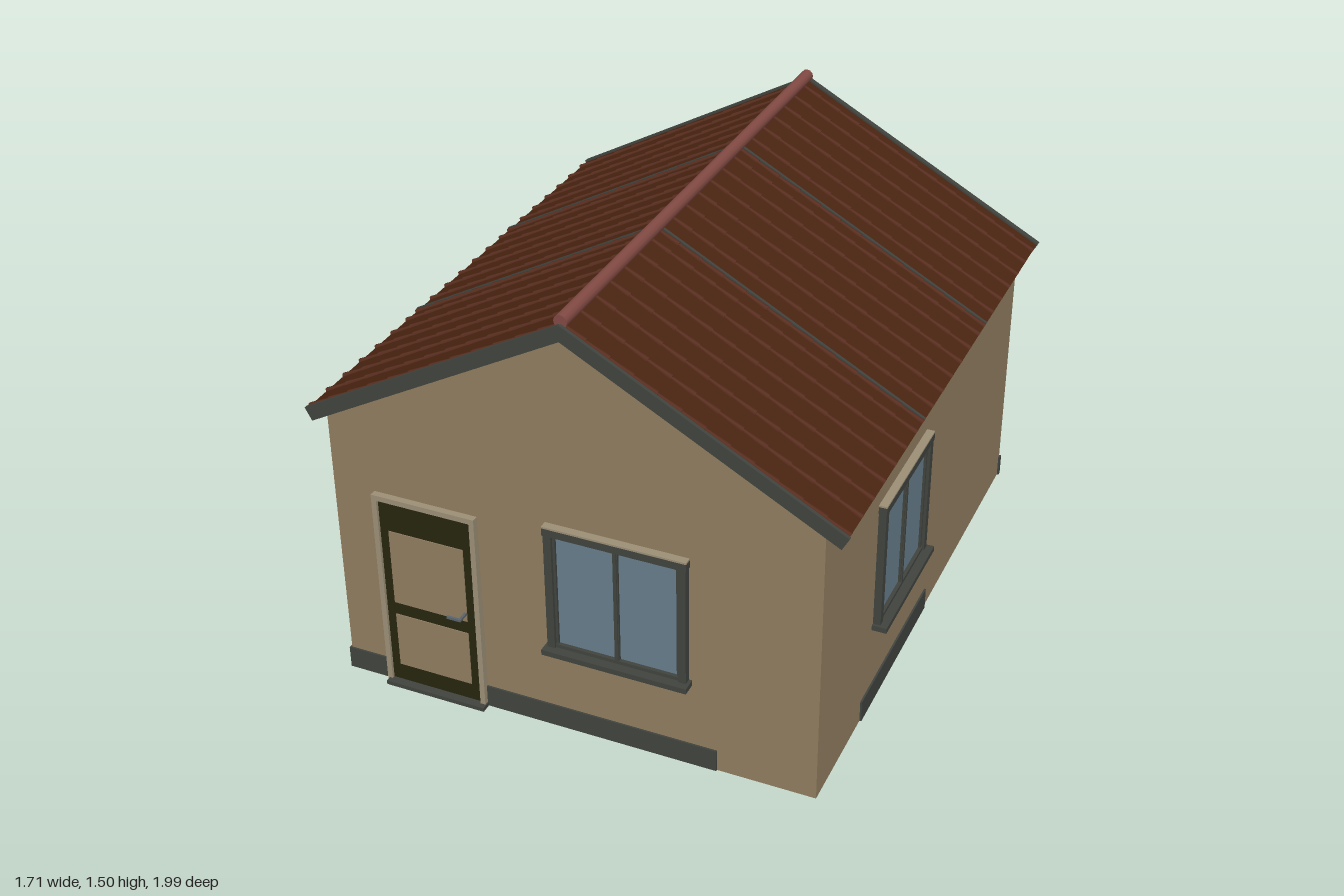
import * as THREE from 'three';
import { mergeGeometries } from 'three/addons/utils/BufferGeometryUtils.js';

const mat = (name, color) => {
  const m = new THREE.MeshStandardMaterial({ color });
  m.name = name;
  return m;
};

export function createModel() {
  const M = {
    wall: mat('sand plaster', 0x907d5f),
    stone: mat('grey concrete', 0x8a8a84),
    trim: mat('dark grey trim', 0x40433e),
    roof: mat('brown roof', 0x4a2411),
    rib: mat('tile brown', 0x5a2f20),
    ridge: mat('ridge red', 0x824a43),
    glass: mat('window glass', 0x677d8c),
    door: mat('door dark', 0x26250f),
    frame: mat('pale frame', 0x9c8f76),
    metal: mat('handle metal', 0x5a646b),
  };
  const house = new THREE.Group();
  house.name = 'house';

  const add = (parent, name, geo, material) => {
    const m = new THREE.Mesh(geo, material);
    m.name = name;
    parent.add(m);
    return m;
  };
  // box given by its minimum and maximum on each axis
  const box = (parent, name, material, x0, x1, y0, y1, z0, z1) => {
    const m = add(parent, name, new THREE.BoxGeometry(x1 - x0, y1 - y0, z1 - z0), material);
    m.position.set((x0 + x1) / 2, (y0 + y1) / 2, (z0 + z1) / 2);
    return m;
  };

  const FRONT = 0.94, BACK = -0.95, SIDE = 0.785;

  // base slab and gabled body
  box(house, 'baseSlab', M.stone, -0.72, 0.72, 0, 0.05, -0.885, 0.87);
  const gable = new THREE.Shape([
    [-SIDE, 0.05], [SIDE, 0.05], [SIDE, 0.997], [0, 1.43], [-SIDE, 0.997],
  ].map(([x, y]) => new THREE.Vector2(x, y)));
  const body = new THREE.ExtrudeGeometry(gable, { depth: FRONT - BACK, bevelEnabled: false });
  body.translate(0, 0, BACK);
  add(house, 'walls', body, M.wall);

  // plinth strips
  const P = 0.006;
  box(house, 'frontPlinth', M.trim, -SIDE - P, 0.47, 0.05, 0.125, FRONT - 0.01, FRONT + P);
  box(house, 'backPlinth', M.trim, -0.47, SIDE + P, 0.05, 0.125, BACK - P, BACK + 0.01);
  box(house, 'leftPlinth', M.trim, SIDE - 0.01, SIDE + P, 0.05, 0.125, -0.07, 0.56);
  box(house, 'rightPlinth', M.trim, -SIDE - P, -SIDE + 0.01, 0.05, 0.125, -0.07, 0.56);

  // two-pane window, facing +z before it is turned
  const addWindow = (name, x, z, turn) => {
    const w = new THREE.Group();
    w.name = name;
    w.position.set(x, 0, z);
    w.rotation.y = turn;
    for (const s of [-1, 1]) {
      const jamb = box(w, 'jamb', M.trim, -0.0125, 0.0125, 0.36, 0.785, -0.01, 0.024);
      jamb.position.x = s * 0.2125;
      const c = s * 0.1;
      box(w, 'pane', M.glass, c - 0.095, c + 0.095, 0.37, 0.77, 0, 0.006);
      for (const e of [-1, 1]) {
        const sx = c + e * 0.096;
        box(w, 'sashStile', M.trim, sx - 0.004, sx + 0.004, 0.37, 0.77, 0, 0.014);
      }
    }
    box(w, 'mullion', M.trim, -0.005, 0.005, 0.37, 0.77, 0, 0.018);
    box(w, 'windowHead', M.trim, -0.228, 0.228, 0.768, 0.793, -0.01, 0.026);
    box(w, 'headCap', M.frame, -0.228, 0.228, 0.793, 0.799, -0.01, 0.026);
    box(w, 'bottomRail', M.trim, -0.2, 0.2, 0.36, 0.377, -0.01, 0.018);
    box(w, 'sill', M.trim, -0.235, 0.235, 0.347, 0.365, -0.01, 0.047);
    house.add(w);
  };
  addWindow('frontWindow', 0.155, FRONT, 0);
  addWindow('backWindow', -0.155, BACK, Math.PI);
  addWindow('leftWindow', SIDE, 0.25, Math.PI / 2);
  addWindow('rightWindow', -SIDE, 0.25, -Math.PI / 2);

  // front door
  const door = new THREE.Group();
  door.name = 'door';
  door.position.z = FRONT;
  house.add(door);
  box(door, 'doorLeaf', M.door, -0.63, -0.315, 0.06, 0.74, 0, 0.012);
  box(door, 'upperPanel', M.wall, -0.6, -0.347, 0.365, 0.63, 0.01, 0.015);
  box(door, 'lowerPanel', M.wall, -0.6, -0.347, 0.125, 0.32, 0.01, 0.015);
  box(door, 'doorJamb', M.frame, -0.646, -0.629, 0.05, 0.755, -0.01, 0.022);
  box(door, 'doorJamb', M.frame, -0.316, -0.299, 0.05, 0.755, -0.01, 0.022);
  box(door, 'doorHead', M.frame, -0.646, -0.299, 0.737, 0.755, -0.01, 0.022);
  box(door, 'threshold', M.trim, -0.64, -0.296, 0.05, 0.064, -0.01, 0.04);
  box(door, 'handleStem', M.metal, -0.355, -0.347, 0.391, 0.399, 0.01, 0.055);
  box(door, 'handleLever', M.metal, -0.395, -0.347, 0.391, 0.399, 0.047, 0.055);

  // roof: two mirrored slopes, local x runs down the slope
  const pitch = Math.atan(0.547), length = 0.85 / Math.cos(pitch);
  const rows = 12, rowLength = length / rows;
  for (const s of [1, -1]) {
    const side = new THREE.Group();
    side.name = s > 0 ? 'leftRoof' : 'rightRoof';
    side.rotation.y = s > 0 ? 0 : Math.PI;
    const slope = new THREE.Group();
    slope.name = 'slope';
    slope.position.y = 1.463;
    slope.rotation.z = -pitch;
    side.add(slope);
    house.add(side);
    const zs = (z0, z1) => (s > 0 ? [z0, z1] : [-z1, -z0]);
    box(slope, 'roofPlate', M.roof, 0, length, -0.038, 0, ...zs(-0.95, 0.94));
    box(slope, 'frontVerge', M.trim, 0, length + 0.003, -0.04, 0.006, ...zs(0.938, 0.95));
    box(slope, 'backVerge', M.trim, 0, length + 0.003, -0.04, 0.006, ...zs(-0.962, -0.943));

    // three panels of seven tapered tile rolls, the last one covering the joint
    const ribs = [];
    for (let p = 0; p < 3; p++) {
      for (let i = 0; i < 7; i++) {
        const z = -0.958 + p * 0.628 + 0.062 + i * 0.0945;
        for (let r = 0; r < rows; r++) {
          const g = new THREE.CylinderGeometry(0.005, 0.009, rowLength, 6);
          g.rotateZ(Math.PI / 2);
          g.translate((r + 0.5) * rowLength, 0, s * z);
          ribs.push(g);
        }
        if (i === 6 && p < 2) {
          box(slope, 'panelJoint', M.trim, 0, length, -0.01, 0.009, ...zs(z - 0.015, z - 0.005));
        }
      }
    }
    add(slope, 'tileRolls', mergeGeometries(ribs), M.rib);
  }

  // ridge cap
  const ridge = new THREE.CylinderGeometry(0.021, 0.021, 1.89, 12);
  ridge.rotateX(Math.PI / 2);
  ridge.translate(0, 1.474, -0.008);
  add(house, 'ridgeCap', ridge, M.ridge);

  return house;
}
